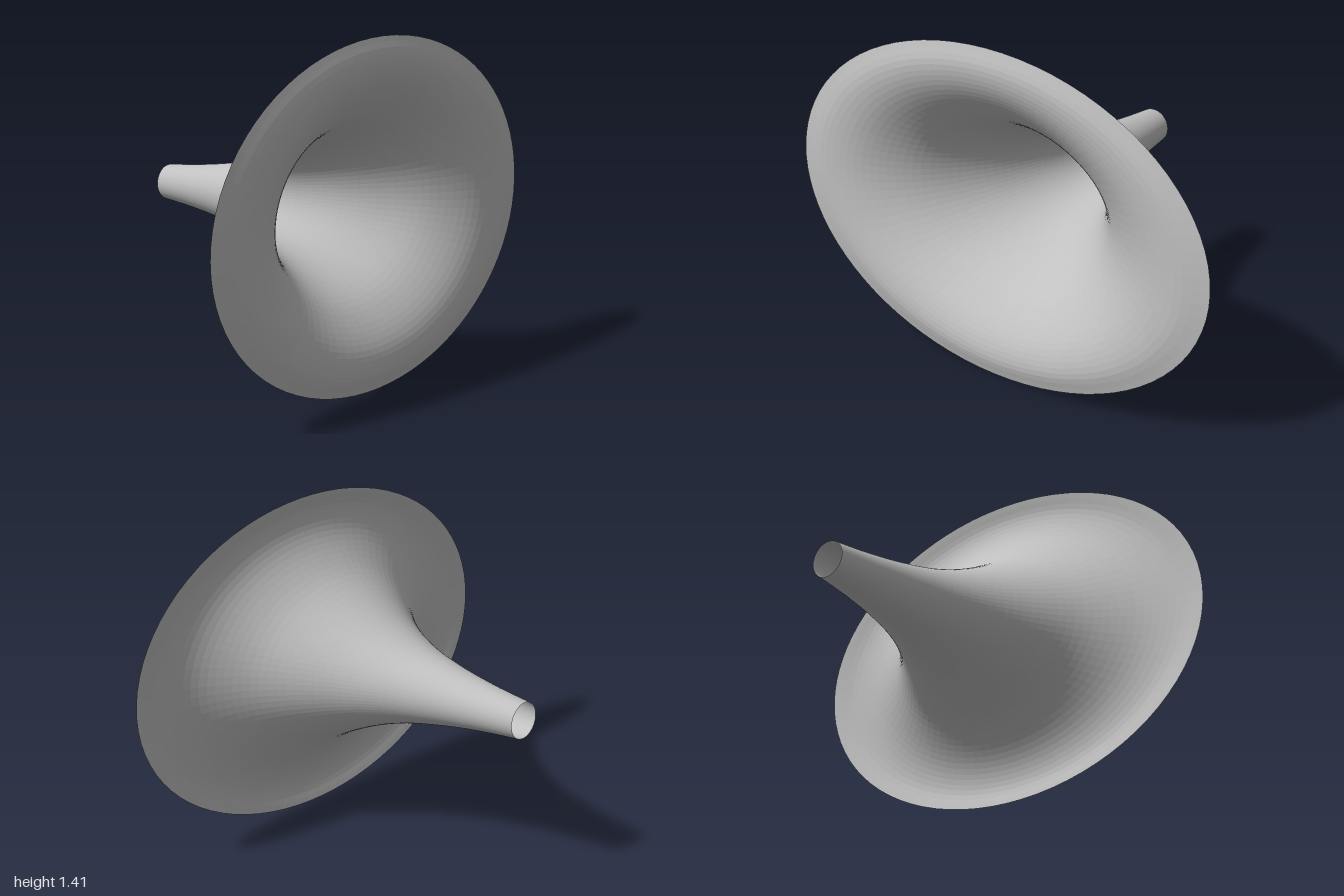
import * as THREE from 'three';
import { ParametricGeometry } from 'three/addons/geometries/ParametricGeometry.js';

const CENTRE_Y = 0.705;

// Half width, half height and depth of the horn, from throat to rolled rim
const profile = new THREE.CatmullRomCurve3([
  [0.076, 0.076, -0.58],
  [0.098, 0.095, -0.4],
  [0.134, 0.126, -0.2],
  [0.195, 0.17, 0],
  [0.297, 0.243, 0.2],
  [0.46, 0.35, 0.4],
  [0.585, 0.437, 0.496],
  [0.725, 0.532, 0.56],
  [0.87, 0.622, 0.58],
  [1, 0.705, 0.56],
].map((p) => new THREE.Vector3(...p)), false, 'centripetal');

export function createModel() {
  const group = new THREE.Group();
  group.name = 'horn';

  const grey = new THREE.MeshStandardMaterial({
    color: 0xc0c0c0, flatShading: true, side: THREE.DoubleSide,
  });
  grey.name = 'light grey';

  // Thin shell: a round throat flaring into an elliptical mouth
  const section = new THREE.Vector3();
  const geometry = new ParametricGeometry((u, v, target) => {
    const angle = u * Math.PI * 2;
    profile.getPointAt(v, section);
    target.set(
      section.x * Math.cos(angle),
      CENTRE_Y + section.y * Math.sin(angle),
      section.z,
    );
  }, 80, 44);

  const flare = new THREE.Mesh(geometry, grey);
  flare.name = 'hornFlare';
  group.add(flare);
  return group;
}
